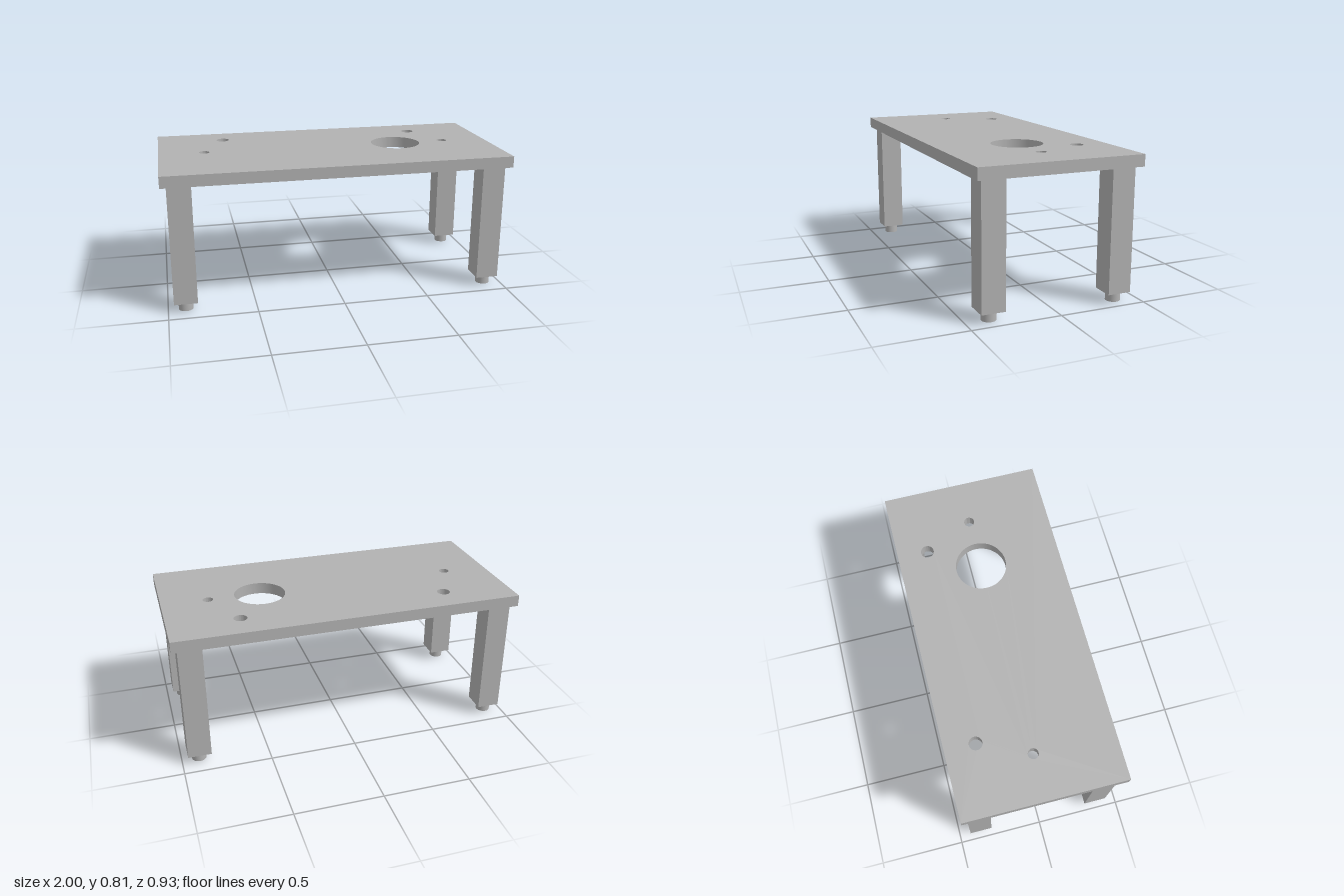
import * as THREE from 'three';
import { toCreasedNormals } from 'three/addons/utils/BufferGeometryUtils.js';

const TOP = 0.813, UNDERSIDE = 0.747, FOOT = 0.055;

export function createModel() {
  const model = new THREE.Group();
  model.name = 'table';
  const grey = new THREE.MeshStandardMaterial({ color: 0xb2b2b2 });
  grey.name = 'plain grey';

  const add = (parent, name, geometry, x, y, z) => {
    const mesh = new THREE.Mesh(geometry, grey);
    mesh.name = name;
    mesh.position.set(x, y, z);
    parent.add(mesh);
  };

  // Table top: rectangle with one large opening and four bolt holes [x, z, radius]
  const outline = new THREE.Shape([
    new THREE.Vector2(-1, -0.467), new THREE.Vector2(1, -0.467),
    new THREE.Vector2(1, 0.467), new THREE.Vector2(-1, 0.467),
  ]);
  const holes = [
    [0.43, -0.003, 0.148],
    [-0.603, -0.29, 0.038], [0.598, -0.29, 0.038],
    [-0.735, -0.002, 0.03], [0.732, -0.002, 0.03],
  ];
  for (const [x, z, r] of holes) {
    outline.holes.push(new THREE.Path().absarc(x, -z, r, 0, Math.PI * 2, true));
  }
  const slab = new THREE.ExtrudeGeometry(outline, {
    depth: TOP - UNDERSIDE, bevelEnabled: false, curveSegments: 48,
  }).rotateX(-Math.PI / 2);
  add(model, 'tableTop', toCreasedNormals(slab, 0.6), 0, UNDERSIDE, 0);

  // Four square legs, each on a round foot
  const legGeometry = new THREE.BoxGeometry(0.133, UNDERSIDE - FOOT, 0.133);
  const footGeometry = new THREE.CylinderGeometry(0.041, 0.041, FOOT, 40);
  for (const [side, sx] of [['left', 1], ['right', -1]]) {
    for (const [end, sz] of [['Front', 1], ['Back', -1]]) {
      const leg = new THREE.Group();
      leg.name = `${side}${end}Leg`;
      leg.position.set(sx * 0.9, 0, sz * 0.367);
      add(leg, 'legPost', legGeometry, 0, (UNDERSIDE + FOOT) / 2, 0);
      add(leg, 'foot', footGeometry, 0, FOOT / 2, 0);
      model.add(leg);
    }
  }
  return model;
}
